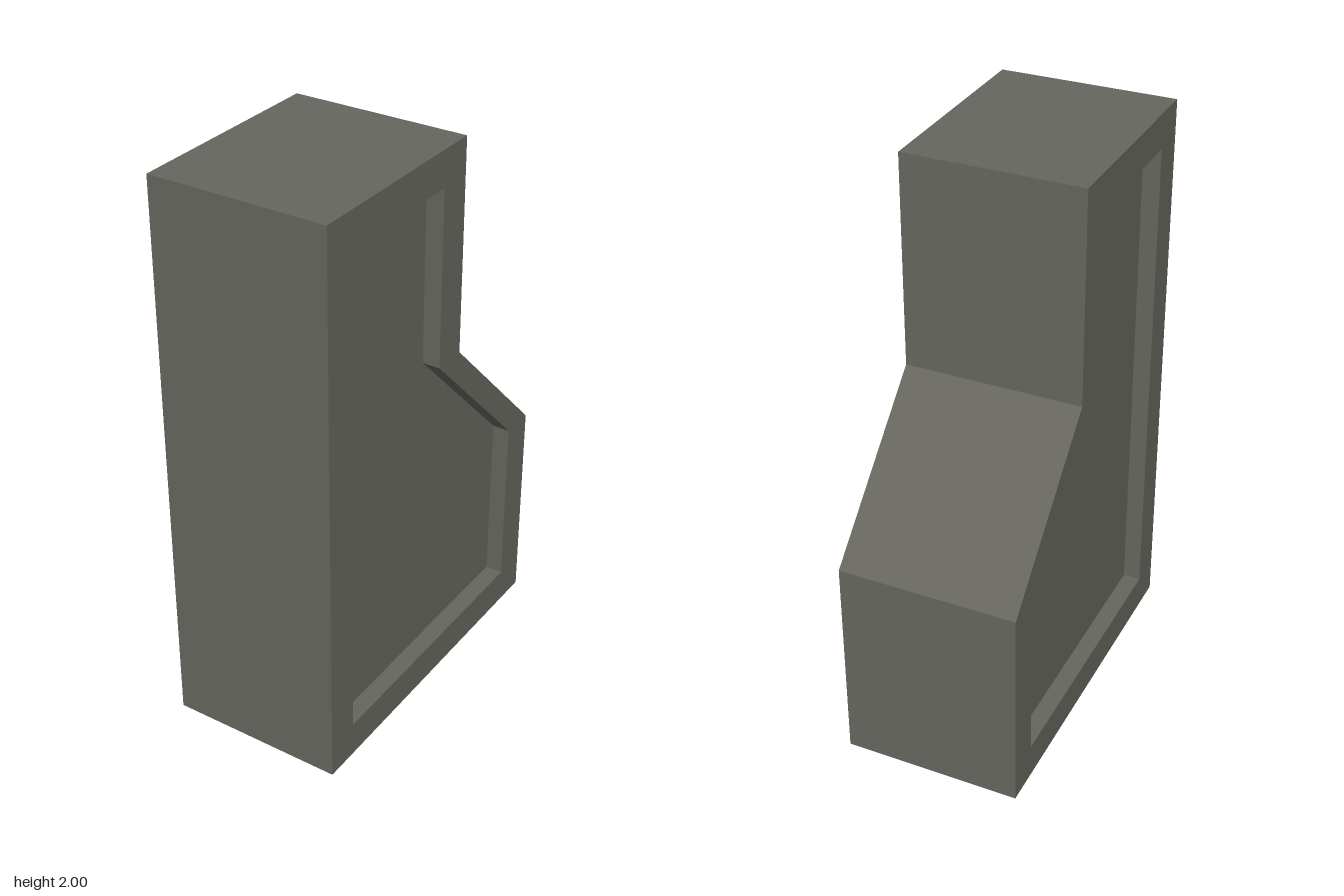
import * as THREE from 'three';

const WIDTH = 0.625;
const RECESS = 0.0625;

// Side profiles as (z, y) points
const outline = [[0.625, 0], [0.625, 2], [-0.125, 2], [-0.125, 1.25], [-0.625, 0.75], [-0.625, 0]];
const inset = [[0.5, 0.125], [0.5, 1.875], [0, 1.875], [0, 1.25], [-0.5, 0.75], [-0.5, 0.125]];

const toPoints = (list) => list.map(([z, y]) => new THREE.Vector2(z, y));

// Extrude a side profile across x, centred on x = 0
function extrudeAcross(shape, width) {
  const geometry = new THREE.ExtrudeGeometry(shape, { depth: width, bevelEnabled: false });
  geometry.translate(0, 0, -width / 2);
  geometry.rotateY(-Math.PI / 2);
  return geometry;
}

export function createModel() {
  const model = new THREE.Group();
  model.name = 'steppedCabinet';

  const darkGrey = new THREE.MeshStandardMaterial({ color: 0x66665f });
  darkGrey.name = 'darkGrey';

  // Outer body, with the side rims framing the recesses
  const bodyShape = new THREE.Shape(toPoints(outline));
  bodyShape.holes.push(new THREE.Path(toPoints(inset)));
  const body = new THREE.Mesh(extrudeAcross(bodyShape, WIDTH), darkGrey);
  body.name = 'body';

  // Core whose two ends are the recessed side panels
  const panelShape = new THREE.Shape(toPoints(inset));
  const panels = new THREE.Mesh(extrudeAcross(panelShape, WIDTH - 2 * RECESS), darkGrey);
  panels.name = 'recessedSidePanels';

  model.add(body, panels);
  return model;
}
